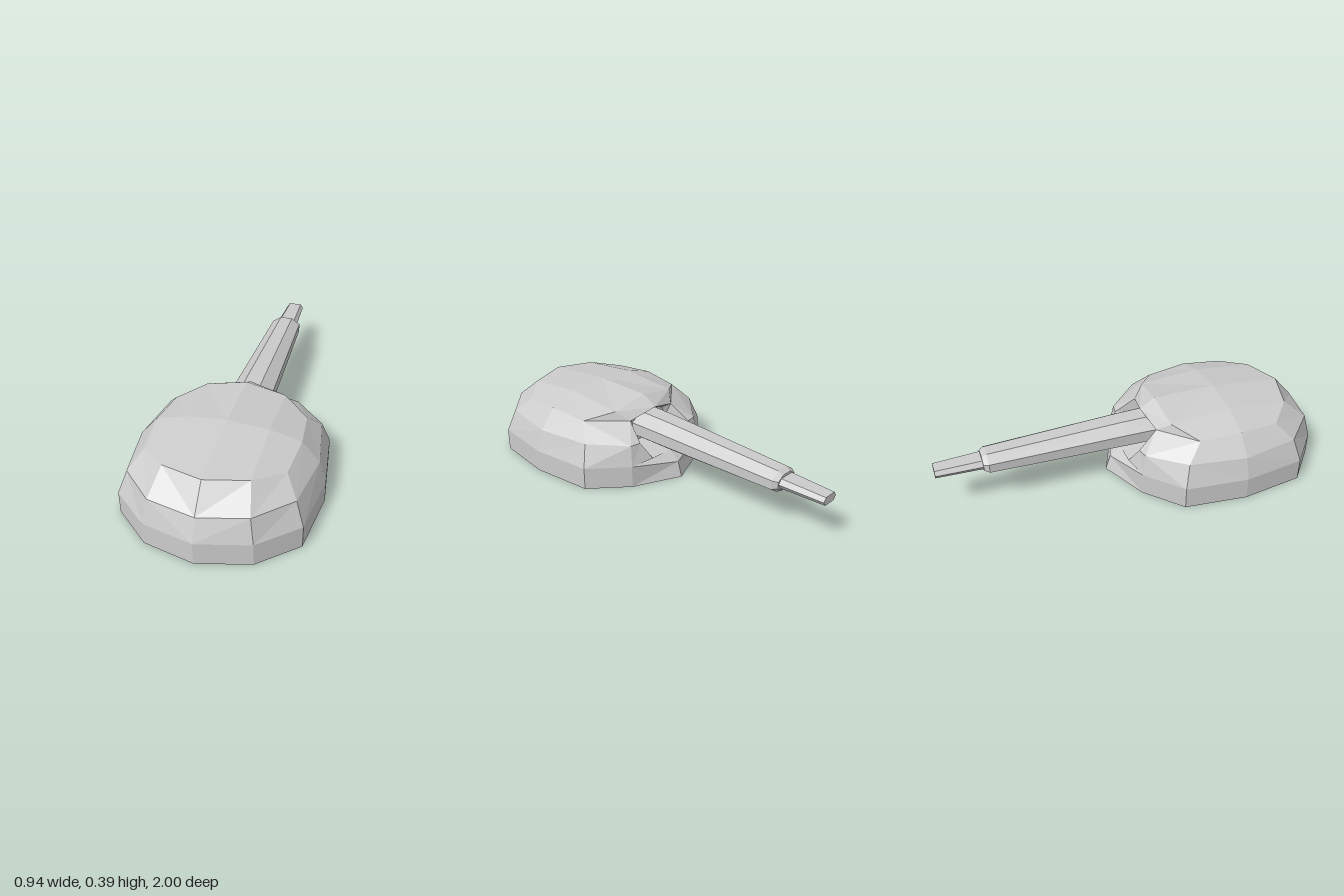
import * as THREE from 'three';

const material = (side = THREE.FrontSide) =>
  new THREE.MeshStandardMaterial({ color: 0xcccccc, flatShading: true, side });

// Mesh from polygons given for the left half, mirrored to the right and turned away from `inside`
function mirroredMesh(name, faces, inside, side) {
  const positions = [];
  const a = new THREE.Vector3(), b = new THREE.Vector3();
  for (const face of faces) {
    for (let i = 1; i < face.length - 1; i++) {
      const tri = [face[0], face[i], face[i + 1]].map((p) => new THREE.Vector3(...p));
      const normal = a.subVectors(tri[1], tri[0]).cross(b.subVectors(tri[2], tri[0]));
      const outward = tri[0].clone().add(tri[1]).add(tri[2]).divideScalar(3).sub(inside);
      if (normal.dot(outward) < 0) tri.reverse();
      for (const p of tri) positions.push(p.x, p.y, p.z);
      for (const p of tri.reverse()) positions.push(-p.x, p.y, p.z);
    }
  }
  const geometry = new THREE.BufferGeometry();
  geometry.setAttribute('position', new THREE.Float32BufferAttribute(positions, 3));
  geometry.computeVertexNormals();
  const mesh = new THREE.Mesh(geometry, material(side));
  mesh.name = name;
  return mesh;
}

// Faceted tube along z through sections [z, half width, half height], closed at both ends
function facetedTube(name, sections, angles, y) {
  const positions = [], index = [], n = angles.length;
  for (const [z, w, h] of sections)
    for (const t of angles) positions.push(w * Math.cos(t), y + h * Math.sin(t), z);
  for (let s = 0; s < sections.length - 1; s++)
    for (let i = 0; i < n; i++) {
      const p = s * n + i, q = s * n + (i + 1) % n;
      index.push(p, q, p + n, q, q + n, p + n);
    }
  const last = (sections.length - 1) * n;
  for (let i = 1; i < n - 1; i++) {
    index.push(0, i + 1, i);
    index.push(last, last + i, last + i + 1);
  }
  // sections run toward -z, so reverse the winding to face outward
  for (let i = 0; i < index.length; i += 3) [index[i], index[i + 1]] = [index[i + 1], index[i]];
  const geometry = new THREE.BufferGeometry();
  geometry.setAttribute('position', new THREE.Float32BufferAttribute(positions, 3));
  geometry.setIndex(index);
  geometry.computeVertexNormals();
  const mesh = new THREE.Mesh(geometry, material(THREE.DoubleSide));
  mesh.name = name;
  return mesh;
}

export function createModel() {
  const group = new THREE.Group();
  group.name = 'turret';

  // Left half outlines, from the front centre round to the back
  const base = [[0, 0, 1], [0.25, 0, 0.94], [0.43, 0, 0.78], [0.47, 0, 0.46],
    [0.43, 0, 0.14], [0.25, 0, -0.02], [0, 0, -0.13]];
  const belt = base.map(([x, , z]) => [x, 0.115, z]);
  belt[6] = [0, 0.08, -0.105];
  const shoulder = [[0, 0.225, 0.955], [0.23, 0.235, 0.91], [0.39, 0.23, 0.75],
    [0.435, 0.225, 0.46], [0.39, 0.23, 0.17], [0.235, 0.22, 0]];
  const crown = [[0, 0.345, 0.85], [0.2, 0.335, 0.79], [0.33, 0.31, 0.67],
    [0.35, 0.325, 0.46], [0.33, 0.31, 0.25], [0.2, 0.35, 0.15], [0, 0.387, 0.14]];
  const ridge = [[0, 0.387, 0.47], [0.2, 0.371, 0.47]];

  // Edge of the gun opening, from top centre to bottom centre
  const rim = [[0, 0.34, 0.06], [0.15, 0.3, 0.09], [0.18, 0.22, -0.01],
    [0.13, 0.13, -0.05], [0, 0.13, -0.05]];

  // Dome shell
  const shell = [base];
  const band = (lower, upper, count) => {
    for (let i = 0; i < count; i++)
      shell.push([lower[i], lower[i + 1], upper[i + 1], upper[i]]);
  };
  band(base, belt, 6);
  band(belt, shoulder, 5);
  band(shoulder, crown, 4);
  shell.push(
    // roof
    [crown[0], crown[1], ridge[1], ridge[0]],
    [crown[1], crown[2], crown[3], ridge[1]],
    [ridge[1], crown[3], crown[4], crown[5]],
    [ridge[0], ridge[1], crown[5], crown[6]],
    // surround of the gun opening
    [crown[5], crown[6], rim[0], rim[1]],
    [crown[4], crown[5], rim[1]],
    [crown[4], rim[1], shoulder[5], shoulder[4]],
    [rim[1], rim[2], shoulder[5]],
    [belt[5], shoulder[5], rim[2], rim[3]],
    [belt[5], rim[3], rim[4], belt[6]],
  );
  group.add(mirroredMesh('dome', shell, new THREE.Vector3(0, 0.15, 0.45)));

  // Recess behind the opening
  const inner = rim.map(([x, y]) => [x * 0.75, 0.235 + (y - 0.235) * 0.75, 0.12]);
  const recess = [inner];
  for (let i = 0; i < 4; i++) recess.push([rim[i], rim[i + 1], inner[i + 1], inner[i]]);
  group.add(mirroredMesh('gunRecess', recess, new THREE.Vector3(0, 0.235, 0), THREE.DoubleSide));

  // Barrel sleeve with a chamfered end
  const octagon = Array.from({ length: 8 }, (_, i) => (i + 0.5) * Math.PI / 4);
  const k = 1 / Math.cos(Math.PI / 8);
  group.add(facetedTube('barrelSleeve', [
    [0.13, 0.108 * k, 0.076 * k], [-0.05, 0.102 * k, 0.075 * k],
    [-0.745, 0.08 * k, 0.055 * k], [-0.77, 0.062 * k, 0.04 * k],
  ], octagon, 0.235));

  // Flattened muzzle
  const flat = [0, 0.8, Math.PI - 0.8, Math.PI, Math.PI + 0.8, -0.8];
  group.add(facetedTube('muzzle', [[-0.74, 0.06, 0.036], [-1, 0.048, 0.029]], flat, 0.237));

  return group;
}
